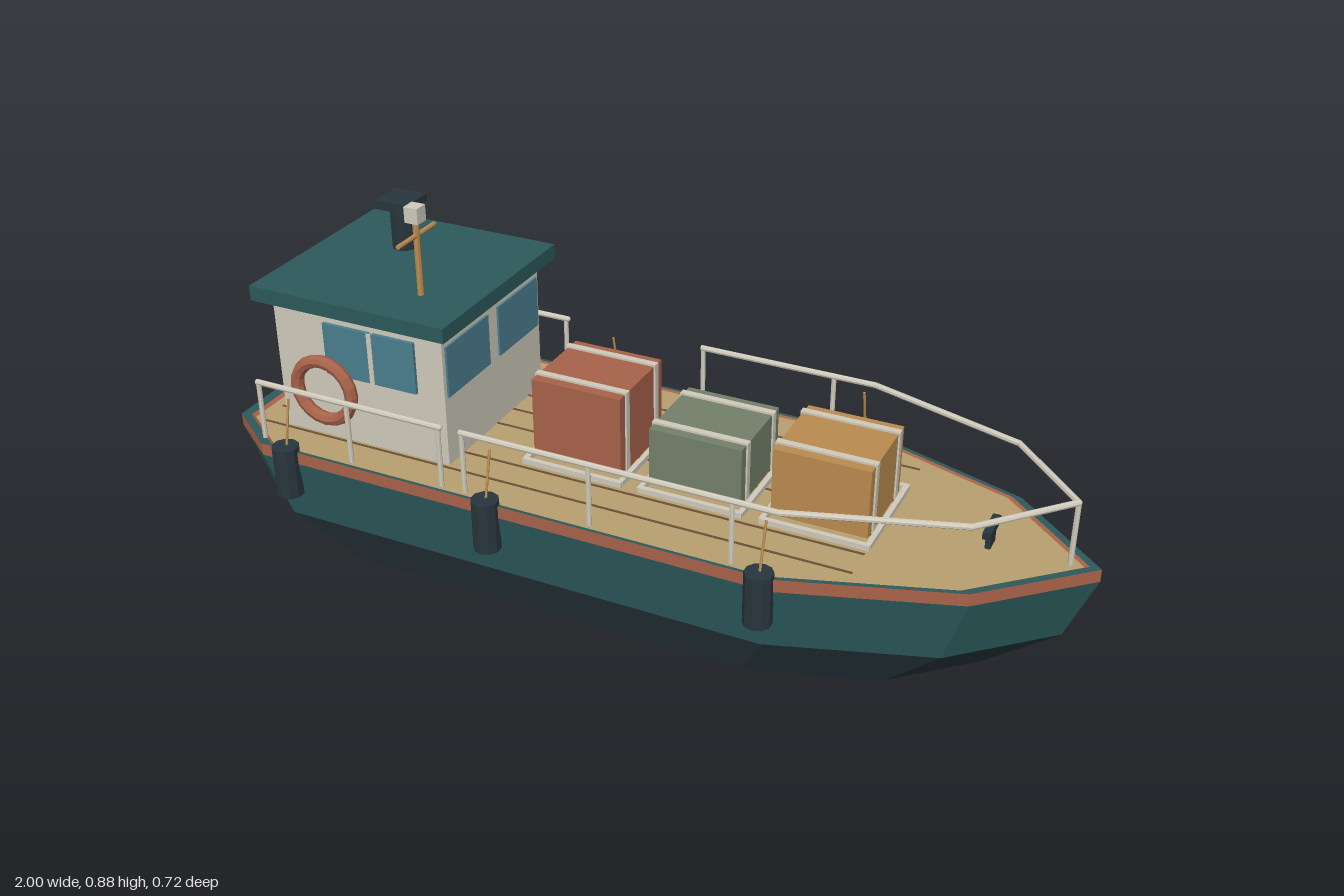
import * as THREE from 'three';

const mat = (name, color) => {
  const m = new THREE.MeshStandardMaterial({ color });
  m.name = name;
  m.flatShading = true;
  return m;
};

export function createModel() {
  const boat = new THREE.Group();
  boat.name = 'cargoBoat';

  const teal = mat('teal paint', 0x2c595b);
  const slate = mat('dark slate', 0x28363d);
  const rust = mat('rust red', 0xa86249);
  const deckTan = mat('deck tan', 0xb79f70);
  const plank = mat('plank seam brown', 0x6b5238);
  const cream = mat('cream paint', 0xcfcabb);
  const glass = mat('window blue', 0x4a7f90);
  const green = mat('cargo green', 0x74806a);
  const ochre = mat('ochre wood', 0xb98b4f);

  const add = (name, geo, material, x = 0, y = 0, z = 0, parent = boat) => {
    const mesh = new THREE.Mesh(geo, material);
    mesh.name = name;
    mesh.position.set(x, y, z);
    parent.add(mesh);
    return mesh;
  };
  // Box given by its lower and upper limits on each axis
  const box = (name, material, x0, x1, y0, y1, z0, z1, parent) =>
    add(name, new THREE.BoxGeometry(x1 - x0, y1 - y0, z1 - z0), material,
      (x0 + x1) / 2, (y0 + y1) / 2, (z0 + z1) / 2, parent);
  // Round bar between two points
  const bar = (name, material, a, b, r, sides = 8) => {
    const from = new THREE.Vector3(...a), to = new THREE.Vector3(...b);
    const dir = to.clone().sub(from);
    const mesh = add(name, new THREE.CylinderGeometry(r, r, dir.length(), sides), material);
    mesh.position.copy(from).add(to).multiplyScalar(0.5);
    mesh.quaternion.setFromUnitVectors(new THREE.Vector3(0, 1, 0), dir.normalize());
    return mesh;
  };

  // Hull: one plan outline, scaled at each level and lofted
  const half = [[-1, 0.23], [-0.87, 0.325], [0.4, 0.325], [0.78, 0.2]];
  const outline = [
    ...half.map(([x, z]) => [x, -z]), [1, 0], ...half.slice().reverse(),
  ];
  const ring = (scale, y) => outline.map(([x, z]) => [x * scale, y, z * scale]);
  const loft = (name, material, rings, capBottom = false, capTop = false) => {
    const pos = [];
    const n = outline.length;
    const tri = (...points) => points.forEach((p) => pos.push(...p));
    for (let k = 0; k < rings.length - 1; k++) {
      for (let i = 0; i < n; i++) {
        const j = (i + 1) % n;
        const [lo, hi] = [rings[k], rings[k + 1]];
        tri(lo[i], hi[i], hi[j]);
        tri(lo[i], hi[j], lo[j]);
      }
    }
    const first = rings[0], last = rings[rings.length - 1];
    for (let i = 0; i < n; i++) {
      const j = (i + 1) % n;
      if (capBottom) tri([0, first[0][1], 0], first[i], first[j]);
      if (capTop) tri([0, last[0][1], 0], last[j], last[i]);
    }
    const geo = new THREE.BufferGeometry();
    geo.setAttribute('position', new THREE.Float32BufferAttribute(pos, 3));
    geo.computeVertexNormals();
    return add(name, geo, material);
  };
  loft('hullBottom', slate, [ring(0.775, 0), ring(0.938, 0.125)], true);
  loft('hullSide', teal, [ring(0.938, 0.125), ring(1, 0.28)]);
  loft('rubbingStrake', rust, [ring(1, 0.28), ring(1, 0.31)]);
  loft('gunwale', teal, [ring(1, 0.31), ring(0.975, 0.31)]);
  loft('gunwaleInside', rust, [ring(0.975, 0.31), ring(0.965, 0.305)]);
  loft('deck', deckTan, [ring(0.965, 0.305)], false, true);
  for (let i = -3; i <= 3; i++) {
    box('plankSeam', plank, -0.94, 0.54, 0.304, 0.3065, i * 0.075 - 0.003, i * 0.075 + 0.003);
  }

  // Wheelhouse
  box('cabin', cream, -0.877, -0.43, 0.305, 0.64, -0.214, 0.214);
  box('cabinRoof', teal, -0.91, -0.4, 0.636, 0.672, -0.25, 0.25);
  for (const s of [-1, 1]) {
    const z = s * 0.218;
    box('sideWindow', glass, -0.74, -0.5, 0.475, 0.602, z - 0.0045, z + 0.0045);
    box('windowMullion', cream, -0.621, -0.609, 0.475, 0.602, z - 0.0065, z + 0.0065);
    box('frontWindow', glass, -0.432, -0.425, 0.475, 0.6, s * 0.1125 - 0.0905, s * 0.1125 + 0.0905);
  }
  box('cabinDoor', slate, -0.884, -0.876, 0.306, 0.59, -0.09, 0.09);
  box('doorWindow', glass, -0.888, -0.88, 0.47, 0.57, -0.062, 0.062);

  // Funnel and mast on the roof
  add('funnel', new THREE.CylinderGeometry(0.03, 0.03, 0.11, 10), slate, -0.714, 0.725, -0.088);
  box('funnelCap', slate, -0.757, -0.671, 0.779, 0.797, -0.131, -0.045);
  bar('mast', ochre, [-0.535, 0.67, 0.122], [-0.535, 0.85, 0.122], 0.0075);
  bar('mastCrossbar', ochre, [-0.535, 0.815, 0.049], [-0.535, 0.815, 0.196], 0.0055);
  box('mastLamp', cream, -0.552, -0.518, 0.848, 0.885, 0.105, 0.139);

  // Life ring on the cabin side
  add('lifeRing', new THREE.TorusGeometry(0.074, 0.0155, 8, 20), rust, -0.738, 0.44, 0.242);

  // Cargo crates, each with two straps and a frame on the deck
  for (const [x, top, material] of [[-0.16, 0.51, rust], [0.13, 0.455, green], [0.42, 0.478, ochre]]) {
    const crate = new THREE.Group();
    crate.name = 'cargoCrate';
    boat.add(crate);
    box('crateBody', material, x - 0.11, x + 0.11, 0.315, top, -0.105, 0.105, crate);
    for (const s of [-1, 1]) {
      const z = s * 0.073;
      box('crateStrap', cream, x - 0.114, x + 0.114, 0.315, top + 0.005, z - 0.008, z + 0.008, crate);
      box('frameLongSide', cream, x - 0.125, x + 0.125, 0.305, 0.318, s * 0.13 - 0.006, s * 0.13 + 0.006, crate);
      box('frameShortSide', cream, x + s * 0.12 - 0.006, x + s * 0.12 + 0.006, 0.305, 0.318, -0.13, 0.13, crate);
    }
  }

  // Guard rails: the right side leaves a wider boarding gap
  const railY = 0.455;
  const rail = (points) => {
    for (let i = 0; i < points.length - 1; i++) {
      const [a, b] = [points[i], points[i + 1]];
      bar('guardRail', cream, [a[0], railY, a[1]], [b[0], railY, b[1]], 0.007);
      add('railJoint', new THREE.SphereGeometry(0.007, 8, 6), cream, b[0], railY, b[1]);
    }
  };
  const post = (x, z) => bar('railPost', cream, [x, 0.305, z], [x, railY, z], 0.006);
  for (const s of [-1, 1]) {
    const z = s * 0.296;
    const start = s > 0 ? -0.345 : -0.035;
    rail([[-0.885, z], [-0.395, z]]);
    rail([[start, z], [0.4, z], [0.765, s * 0.18], [0.935, 0]]);
    [-0.88, -0.64, -0.4, -0.03, 0.3].forEach((x) => post(x, z));
    if (s > 0) post(-0.34, z);

    // Fenders on short ropes
    for (const x of [-0.8, -0.27, 0.375]) {
      add('fender', new THREE.CylinderGeometry(0.032, 0.032, 0.126, 10), slate, x, 0.26, s * 0.327);
      bar('fenderRope', ochre, [x, 0.32, s * 0.322], [x, 0.43, s * 0.296], 0.003, 6);
    }
  }
  post(0.935, 0);

  // Mooring cleats at the bow and stern
  for (const [x, z] of [[0.765, 0], [-0.932, -0.153]]) {
    box('cleatPost', slate, x - 0.006, x + 0.006, 0.304, 0.342, z - 0.02, z + 0.02);
    box('cleatBar', slate, x - 0.009, x + 0.009, 0.34, 0.356, z - 0.041, z + 0.041);
  }

  return boat;
}
